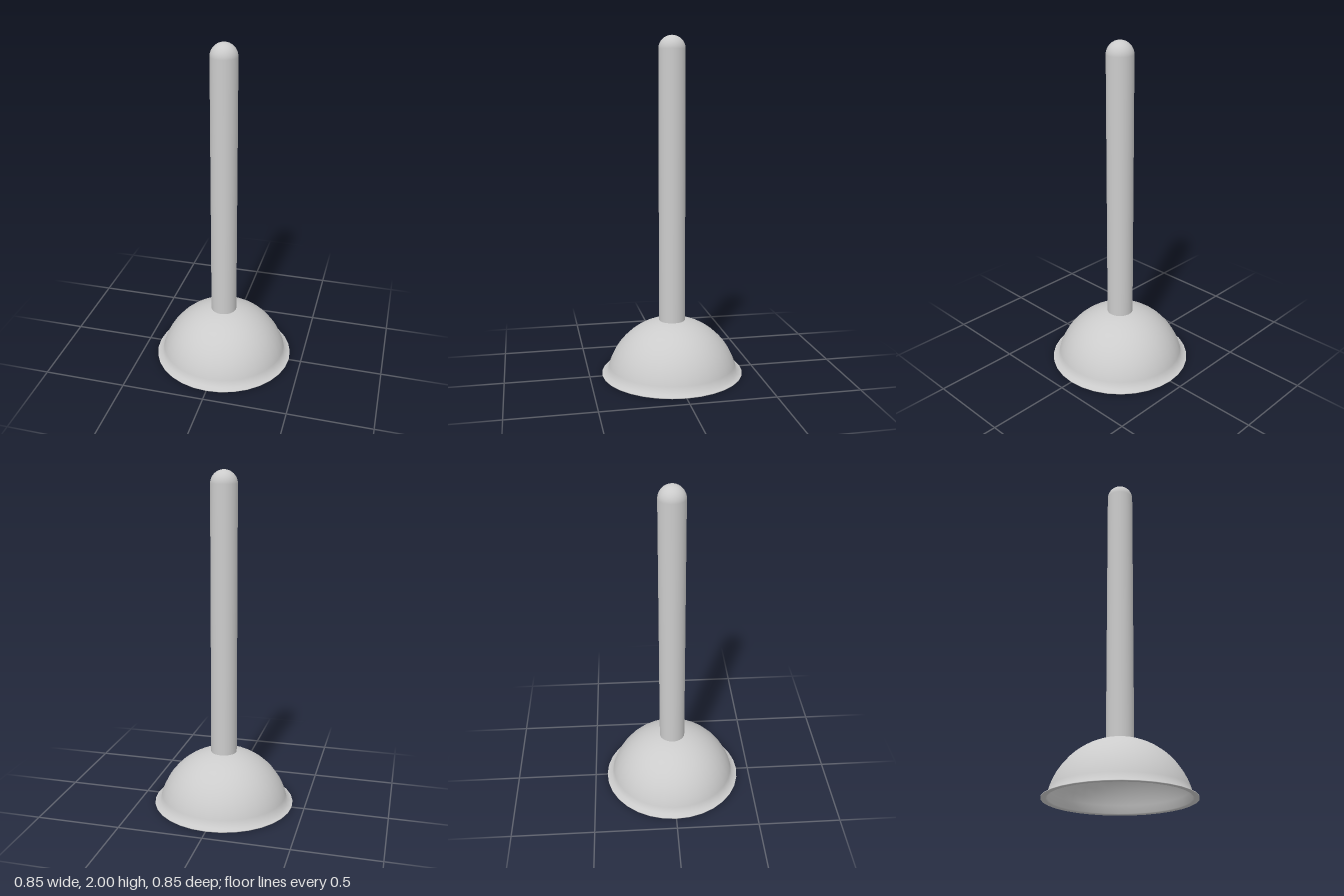
import * as THREE from 'three';

const SEGMENTS = 32;
const CENTRE_Y = -0.067; // sphere centre of the cup, just below the floor

// Points on a spherical cap, from the crown down to height yEnd
function capArc(radius, yEnd, steps) {
  const end = Math.acos((yEnd - CENTRE_Y) / radius);
  const points = [];
  for (let i = 0; i <= steps; i++) {
    const a = (end * i) / steps;
    points.push(new THREE.Vector2(radius * Math.sin(a), CENTRE_Y + radius * Math.cos(a)));
  }
  return points;
}

export function createModel() {
  const model = new THREE.Group();
  const material = new THREE.MeshStandardMaterial({ color: 0xcccccc, side: THREE.DoubleSide });

  const add = (name, geometry, y = 0) => {
    const mesh = new THREE.Mesh(geometry, material);
    mesh.name = name;
    mesh.position.y = y;
    model.add(mesh);
  };

  // Hollow rubber cup: inside wall, thin flared lip, outside wall
  const profile = [
    ...capArc(0.394, 0.004, 12),
    new THREE.Vector2(0.398, 0),
    new THREE.Vector2(0.424, 0),
    new THREE.Vector2(0.424, 0.004),
    ...capArc(0.4, 0.01, 12).reverse(),
  ];
  add('cup', new THREE.LatheGeometry(profile, SEGMENTS));

  // Handle shaft, seated in the crown of the cup
  const bottom = 0.32, top = 1.922, radius = 0.078;
  add('handle', new THREE.CylinderGeometry(radius, radius, top - bottom, SEGMENTS), (top + bottom) / 2);

  // Rounded handle end
  add('handleEnd', new THREE.SphereGeometry(radius, SEGMENTS, 10, 0, Math.PI * 2, 0, Math.PI / 2), top);

  return model;
}
